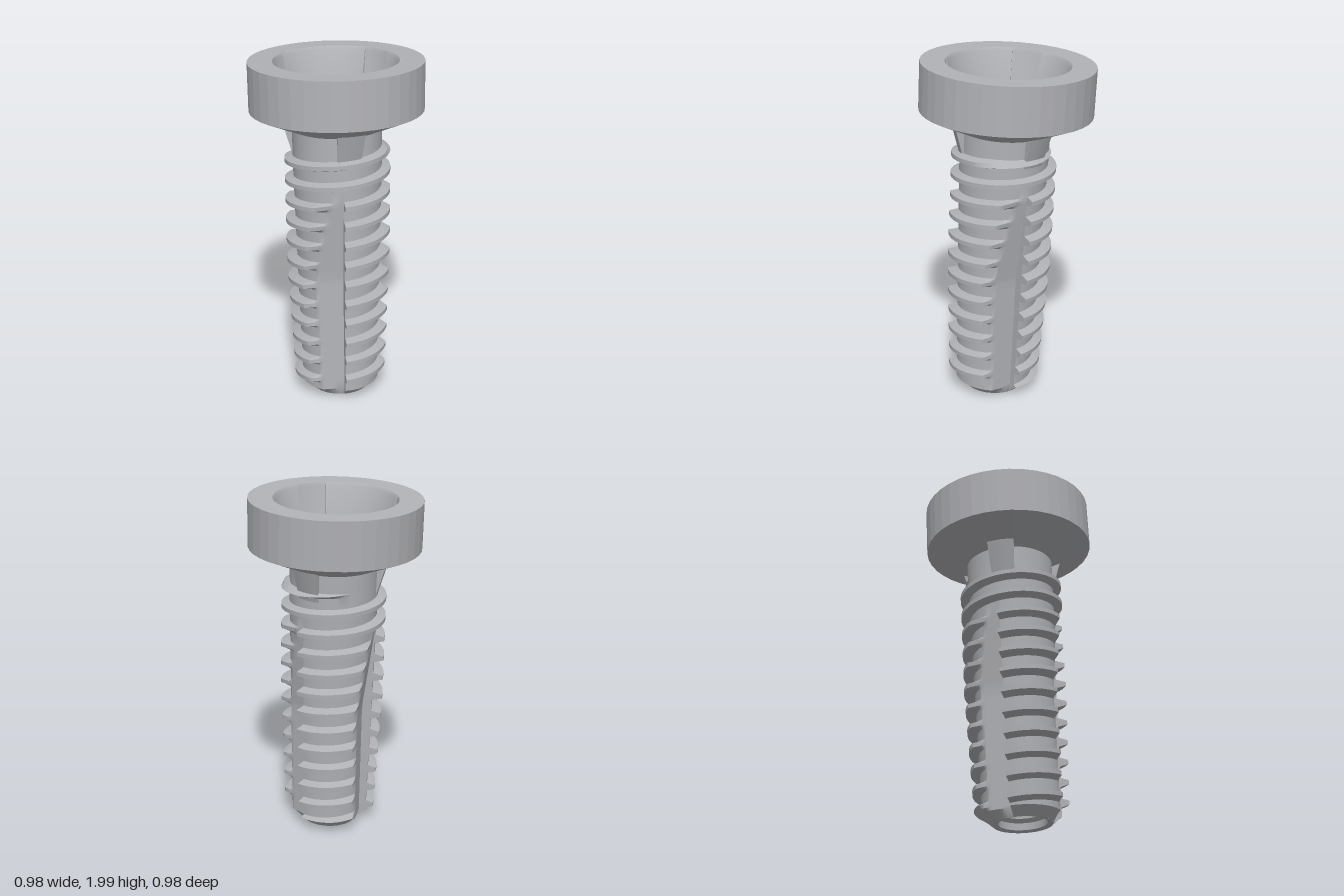
import * as THREE from 'three';
import { toCreasedNormals } from 'three/addons/utils/BufferGeometryUtils.js';

const TAU = Math.PI * 2, RAD = Math.PI / 180;
const { clamp, lerp } = THREE.MathUtils;

// Sweeps a profile of [radius, height] points around the axis; the profile may change with the angle.
function sweep(angles, profile, crease) {
  const cols = angles.map(a => profile(a).map(([r, h]) => [r * Math.cos(a), h, -r * Math.sin(a)]));
  const pos = [];
  for (let i = 0; i < cols.length - 1; i++) {
    for (let j = 0; j < cols[i].length - 1; j++) {
      const a = cols[i][j], b = cols[i + 1][j], c = cols[i + 1][j + 1], d = cols[i][j + 1];
      pos.push(...a, ...b, ...c, ...a, ...c, ...d);
    }
  }
  const geo = new THREE.BufferGeometry();
  geo.setAttribute('position', new THREE.Float32BufferAttribute(pos, 3));
  geo.computeVertexNormals();
  return crease ? toCreasedNormals(geo, crease) : geo;
}

// Evenly spaced angles plus a close pair at every sharp step
function ring(n, steps = []) {
  const list = Array.from({ length: n + 1 }, (_, i) => i / n * TAU);
  for (const s of steps) {
    const a = (s + TAU) % TAU;
    list.push(a - 0.001, a + 0.001);
  }
  return list.sort((a, b) => a - b);
}

// Smallest signed difference between two angles
const diff = (a, b) => Math.atan2(Math.sin(a - b), Math.cos(a - b));

const LOBES = [75, 195, 315].map(d => d * RAD);
const LOBE_HALF = 15 * RAD;
const FLUTES = [67, 187, 307].map(d => d * RAD);
const PITCH = 0.119, LOW = 0.06, HIGH = 1.5;

const rootRadius = h => lerp(0.22, 0.25, clamp(h / 1.4, 0, 1));
const threadRadius = h => lerp(0.262, 0.297, clamp(h / 0.8, 0, 1));

// Cutting flutes: a flat that ends in a steep wall on one side
function cutByFlute(r, a, h) {
  if (h > 1.27) return r;
  const depth = lerp(0.183, 0.25, clamp((h - 0.75) / 0.52, 0, 1));
  for (const f of FLUTES) {
    const d = diff(a, f);
    if (d <= 0 && d > -65 * RAD) r = Math.min(r, depth / Math.cos(d));
  }
  return r;
}

// Shaft with its helical thread
function shaftProfile(a) {
  const pts = [[0.165, 0.012], [0.218, LOW]];
  for (let k = -13; k <= 1; k++) {
    const mid = 1.41 + PITCH * ((a - Math.PI) / TAU + k);
    for (const [offset, tip] of [[-0.03, 0], [-0.013, 1], [0.011, 1], [0.024, 0]]) {
      const h = clamp(mid + offset, LOW, HIGH);
      const fade = clamp((h - LOW) / 0.03, 0, 1) * clamp((HIGH - h) / 0.02, 0, 1);
      pts.push([lerp(rootRadius(h), threadRadius(h), tip * fade), h]);
    }
  }
  pts.push([0.25, HIGH], [0.252, 1.61]);
  return pts.map(([r, h]) => [cutByFlute(r, a, h), h]);
}

// Tapered socket with three lobes, a ledge, a floor and a blind hole
function socketProfile(a) {
  const lobe = LOBES.some(l => Math.abs(diff(a, l)) < LOBE_HALF);
  const walls = lobe
    ? [[0.35, 1.977], [0.343, 1.96], [0.3, 1.63], [0.285, 1.6], [0.216, 1.36]]
    : [[0.35, 1.977], [0.337, 1.96], [0.272, 1.63], [0.252, 1.63], [0.232, 1.36]];
  return [...walls, [0.212, 1.2], [0.203, 1.16], [0.185, 1.135], [0.165, 1.13],
    [0.103, 1.13], [0.103, 0.72], [0, 0.64]];
}

export function createModel() {
  const metal = new THREE.MeshStandardMaterial({ color: 0xb1b2b6 });
  metal.name = 'grey metal';
  const model = new THREE.Group();
  model.name = 'screw';
  const body = new THREE.Group();
  body.name = 'tiltedBody';
  model.add(body);

  const add = (name, geo) => {
    const mesh = new THREE.Mesh(geo, metal);
    mesh.name = name;
    body.add(mesh);
  };

  // Head: faceted collar on a cone
  add('head', sweep(ring(40), () =>
    [[0.245, 1.598], [0.487, 1.705], [0.487, 1.977], [0.35, 1.977]]));

  add('threadedShaft', sweep(ring(120, FLUTES), shaftProfile, 0.5));

  const lobeEdges = LOBES.flatMap(l => [l - LOBE_HALF, l + LOBE_HALF]);
  add('socket', sweep(ring(60, lobeEdges), socketProfile, 0.5));

  // Ribs where the socket lobes bulge through the neck
  for (const l of LOBES) {
    const angles = [-1.05, -1, -0.5, 0, 0.5, 1, 1.05].map(t => l + t * LOBE_HALF);
    add('neckRib', sweep(angles, a => {
      const side = Math.abs(diff(a, l)) > LOBE_HALF * 1.02;
      return side ? [[0.235, 1.41], [0.235, 1.64]] : [[0.24, 1.41], [0.308, 1.64]];
    }, 0.5));
  }

  // Rounded recess in the tip
  add('tipRecess', sweep(ring(48), () =>
    [[0, 0.24], [0.06, 0.225], [0.1, 0.18], [0.115, 0.12], [0.115, 0.08],
      [0.135, 0.06], [0.135, 0.02], [0.165, 0.012]], 0.5));

  // The screw leans slightly to one side and back
  body.quaternion.setFromUnitVectors(
    new THREE.Vector3(0, 1, 0), new THREE.Vector3(-0.035, 1, -0.035).normalize());
  body.position.set(0.064, 0, 0.064);
  return model;
}
